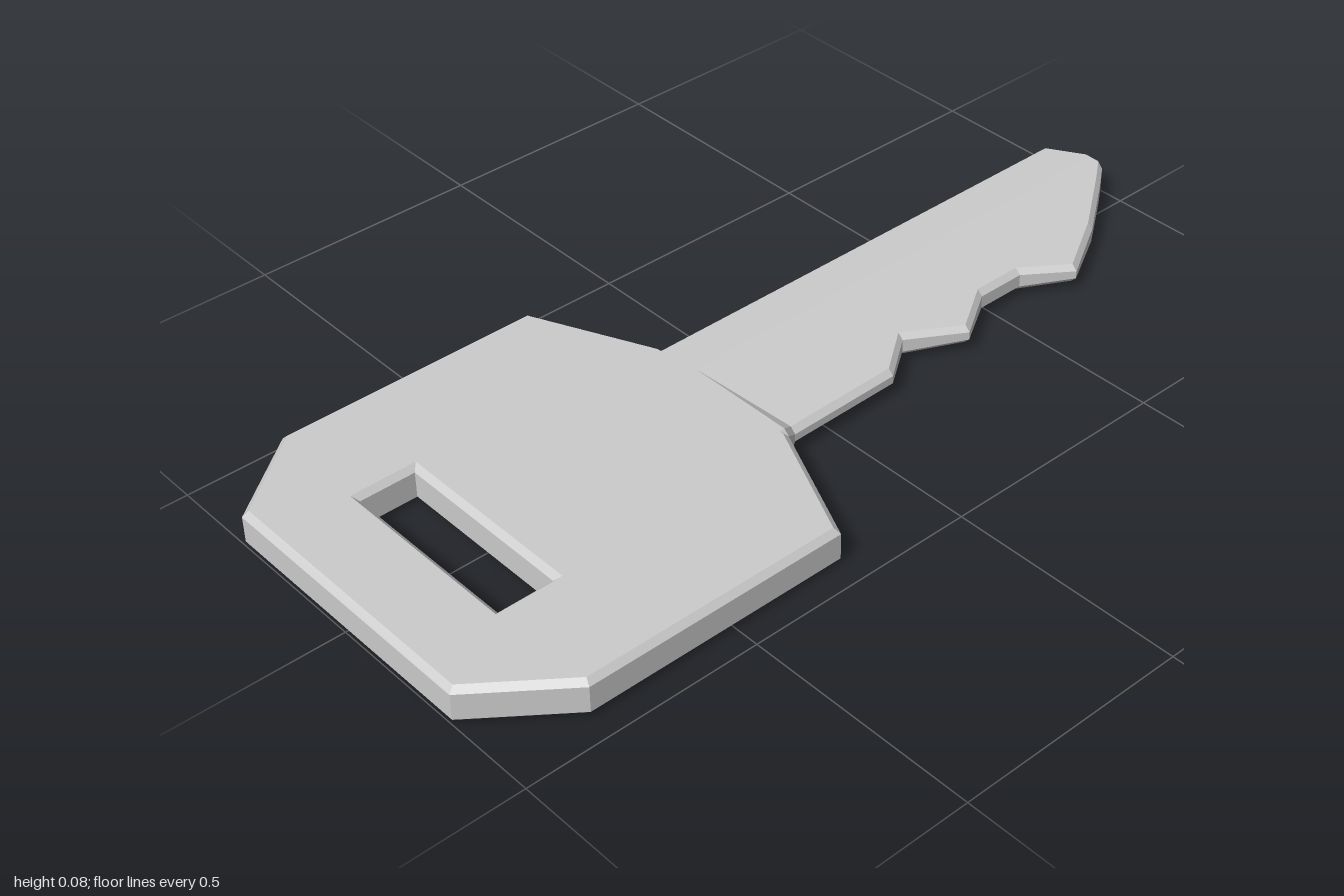
import * as THREE from 'three';

const H = 0.08;   // thickness
const B = 0.012;  // chamfer

// Chamfered bow with a rectangular slot
function makeHead() {
  const pts = [[-0.18, 0.13], [0.18, 0.13], [0.445, 0.25], [0.445, 0.82],
    [0.305, 1], [-0.305, 1], [-0.445, 0.82], [-0.445, 0.25]];
  const shape = new THREE.Shape(pts.map(p => new THREE.Vector2(...p)));
  const slot = [[-0.2, 0.7], [-0.2, 0.82], [0.2, 0.82], [0.2, 0.7]];
  shape.holes.push(new THREE.Path(slot.map(p => new THREE.Vector2(...p))));
  const geo = new THREE.ExtrudeGeometry(shape, {
    depth: H - 2 * B, bevelEnabled: true, bevelThickness: B,
    bevelSize: B, bevelOffset: -B, bevelSegments: 1,
  });
  geo.rotateX(Math.PI / 2);
  geo.translate(0, H - B, 0);
  return geo;
}

// Cross-section: full-thickness spine, thinning from the ridge to the cut edge
function section(xl, xr, z, thin, end) {
  const b = Math.min(B, (xr - xl) / 2);
  const ridge = THREE.MathUtils.clamp(-0.08, xl + b, xr - b);
  const drop = x => end + (thin ? Math.max(0, x + 0.08) * 0.085 : 0);
  const r = drop(xr - b), l = end;
  const c = end ? 0 : B;
  return [
    [xl + b, l], [ridge, l], [xr - b, r], [xr, r + c],
    [xr, H - r - c], [xr - b, H - r], [ridge, H - l], [xl + b, H - l],
    [xl, H - l - c], [xl, l + c],
  ].map(([x, y]) => [x, y, z]);
}

// Blade lofted from the tip to the head
function makeBlade() {
  // z, left x, right x, thinned
  const stations = [
    [-1, -0.09, -0.07, 1], [-0.985, -0.105, -0.045, 1], [-0.94, -0.18, -0.01, 1],
    [-0.81, -0.18, 0.085, 1], [-0.68, -0.18, 0.16, 1], [-0.58, -0.18, 0.097, 1],
    [-0.47, -0.18, 0.097, 1], [-0.37, -0.18, 0.16, 1], [-0.25, -0.18, 0.095, 1],
    [-0.16, -0.18, 0.16, 1], [0.1, -0.18, 0.165, 1],
    [0.13, -0.18, 0.18, 0], [0.15, -0.18, 0.18, 0],
  ];
  const rings = stations.map(([z, l, r, thin], i) => section(l, r, z, thin, i === 0 ? B : 0));
  const n = rings[0].length;
  const index = [];
  for (let i = 0; i < rings.length - 1; i++) {
    for (let k = 0; k < n; k++) {
      const a = i * n + k, b = i * n + (k + 1) % n;
      index.push(a, b, b + n, a, b + n, a + n);
    }
  }
  for (let k = 1; k < n - 1; k++) index.push(0, k + 1, k); // tip cap
  const geo = new THREE.BufferGeometry();
  geo.setAttribute('position', new THREE.Float32BufferAttribute(rings.flat(2), 3));
  geo.setIndex(index);
  const flat = geo.toNonIndexed();
  flat.computeVertexNormals();
  return flat;
}

export function createModel() {
  const group = new THREE.Group();
  group.name = 'key';
  const material = new THREE.MeshStandardMaterial({ color: 0xcccccc, flatShading: true });
  const head = new THREE.Mesh(makeHead(), material);
  head.name = 'head';
  const blade = new THREE.Mesh(makeBlade(), material);
  blade.name = 'blade';
  group.add(head, blade);
  return group;
}
